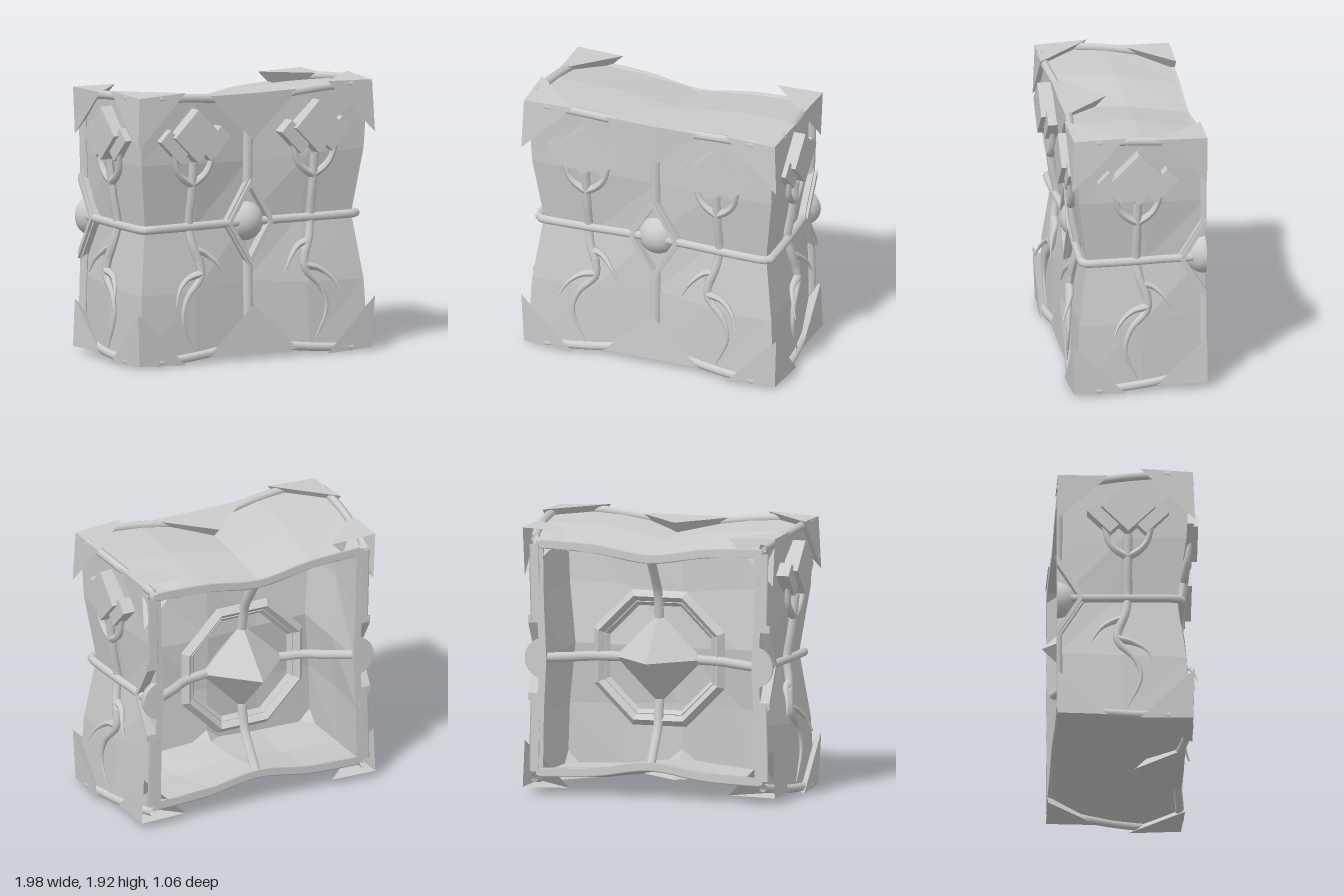
import * as THREE from 'three';

const flat = new THREE.MeshStandardMaterial({ color: 0xcccccc, flatShading: true, side: THREE.DoubleSide });
const smooth = new THREE.MeshStandardMaterial({ color: 0xcccccc, side: THREE.DoubleSide });
const V = (p) => new THREE.Vector3(...p);

// Everything is built around the centre of the open back.
// The block is pinched along the middle of every wall and edge, leaving humps near the corners.
const dip = (t) => Math.max(0, 1 - Math.abs(t)) ** 2;
const pinch = (a, b) => 0.92 - 0.085 * Math.max(a, b) - 0.025 * Math.min(a, b) - 0.01 * b;
const warp = (x, y, z) => [
  x * pinch(dip(y), dip(z)),
  y * (pinch(dip(x), dip(z)) - 0.05 * dip(x) * dip(z)),
  z * pinch(dip(y), dip(x)),
];
const faceZ = (x, y) => pinch(dip(y / 0.92), dip(x / 0.92));

function add(group, name, geometry, material = flat) {
  const mesh = new THREE.Mesh(geometry, material);
  mesh.name = name;
  group.add(mesh);
  return mesh;
}

// Flattens everything below a limit along one axis, to cut a part in half
function clampMin(geometry, axis, limit) {
  const p = geometry.attributes.position;
  for (let i = 0; i < p.count; i++) p.setComponent(i, axis, Math.max(limit, p.getComponent(i, axis)));
  geometry.computeVertexNormals();
  return geometry;
}

// Tube along points, with radius running from r0 to r1
function taperTube(points, r0, r1 = r0) {
  const curve = new THREE.CatmullRomCurve3(points.map(V));
  const n = 20, m = 8;
  const geo = new THREE.TubeGeometry(curve, n, 1, m);
  const p = geo.attributes.position, v = new THREE.Vector3();
  for (let i = 0; i <= n; i++) {
    const c = curve.getPointAt(i / n), r = r0 + (r1 - r0) * (i / n);
    for (let j = 0; j <= m; j++) {
      const k = i * (m + 1) + j;
      v.fromBufferAttribute(p, k).sub(c).multiplyScalar(r).add(c);
      p.setXYZ(k, v.x, v.y, v.z);
    }
  }
  geo.computeVertexNormals();
  return geo;
}

function triangles(list) {
  const geo = new THREE.BufferGeometry();
  geo.setAttribute('position', new THREE.Float32BufferAttribute(list.flat(2), 3));
  geo.computeVertexNormals();
  return geo;
}

// Five-sided low-poly skin, open at the back
function skin(scale) {
  const geo = new THREE.BoxGeometry(2, 2, 1, 4, 4, 2);
  geo.translate(0, 0, 0.5);
  const back = geo.groups[5];
  geo.setIndex(Array.from(geo.index.array).slice(0, back.start));
  geo.clearGroups();
  const p = geo.attributes.position;
  for (let i = 0; i < p.count; i++) {
    const q = warp(p.getX(i), p.getY(i), p.getZ(i));
    p.setXYZ(i, q[0] * scale, q[1] * scale, q[2] * scale);
  }
  geo.computeVertexNormals();
  return geo;
}

function rim(scale) {
  const loop = [];
  for (let s = 0; s < 4; s++) for (let k = 0; k < 4; k++) {
    const t = -1 + k / 2;
    loop.push(warp(...[[t, -1, 0], [1, t, 0], [-t, 1, 0], [-1, -t, 0]][s]));
  }
  const list = [];
  loop.forEach((a, i) => {
    const b = loop[(i + 1) % loop.length];
    const ai = a.map((c) => c * scale), bi = b.map((c) => c * scale);
    list.push([a, ai, b], [b, ai, bi]);
  });
  return triangles(list);
}

// One tree with its stone plates, at x = 0.49 on the face
function buildTree(group) {
  const on = (pts, lift = 0.025) => pts.map(([x, y, l = 0]) => [x, y, faceZ(x, y) + lift + l]);
  add(group, 'trunk', taperTube(on([[0.49, 0.46], [0.49, 0.2], [0.49, 0], [0.47, -0.13], [0.43, -0.24]]), 0.031), smooth);
  add(group, 'mainRoot', taperTube(on([[0.43, -0.22], [0.42, -0.35], [0.54, -0.49], [0.58, -0.64], [0.49, -0.86]]), 0.033, 0.004), smooth);
  add(group, 'innerRoot', taperTube(on([[0.47, -0.16], [0.38, -0.19], [0.3, -0.26, 0.03], [0.24, -0.36, 0.05]]), 0.03, 0.004), smooth);
  add(group, 'outerRoot', taperTube(on([[0.42, -0.33], [0.53, -0.36], [0.62, -0.43, 0.03], [0.67, -0.53, 0.06]]), 0.03, 0.004), smooth);
  for (const s of [-1, 1]) {
    add(group, 'branch', taperTube(on([[0.49, 0.3], [0.49 + s * 0.08, 0.35], [0.49 + s * 0.13, 0.41], [0.49 + s * 0.17, 0.54, 0.01]]), 0.03, 0.018), smooth);
    const side = add(group, 'sidePlate', new THREE.BoxGeometry(0.115, 0.225, 0.09));
    side.position.set(0.49 + s * 0.165, 0.585, 0.91);
    side.rotation.z = -s * Math.PI / 4;
  }
  const plate = add(group, 'diamondPlate', new THREE.BoxGeometry(0.265, 0.265, 0.11));
  plate.position.set(0.49, 0.65, 0.935);
  plate.rotation.z = Math.PI / 4;
}

// Right-hand half (x > 0) of one wall's ornament
function buildHalfFace() {
  const g = new THREE.Group();
  buildTree(g);

  const boss = new THREE.SphereGeometry(0.145, 32, 24);
  boss.translate(0, 0, 0.76);
  add(g, 'boss', clampMin(clampMin(boss, 2, 0.785), 0, 0), smooth);

  // Two stepped bars of the diamond frame
  for (const [outer, inner, front] of [[1, 0.88, 0.86], [0.92, 0.76, 0.88]]) {
    const s = new THREE.Shape();
    [[0, 0.325 * outer], [0.2 * outer, 0], [0, -0.325 * outer], [0, -0.325 * inner], [0.2 * inner, 0], [0, 0.325 * inner]]
      .forEach(([x, y], i) => (i ? s.lineTo(x, y) : s.moveTo(x, y)));
    const frame = new THREE.ExtrudeGeometry(s, { depth: front - 0.79, bevelEnabled: false });
    frame.translate(0, 0, 0.79);
    add(g, 'diamondFrame', frame);
  }

  add(g, 'girdle', taperTube([[0.08, 0, 0.845], [0.25, 0, 0.85], [0.5, 0, 0.865], [0.77, 0, 0.872], [0.84, 0, 0.868], [0.868, 0, 0.84]], 0.03), smooth);

  for (const s of [1, -1]) {
    const rib = taperTube([0.26, 0.45, 0.65, 0.8].map((y) => [0, s * y, faceZ(0, y) + 0.012]), 0.036);
    add(g, 'centreRib', clampMin(rib, 0, 0), smooth);
    // Vine that follows the pinched edge
    const vine = [0, 0.2, 0.4, 0.55, 0.7, 0.85].map((x) => {
      const [px, py, pz] = warp(x, 1, 1);
      return [px, s * (py + 0.008), pz + 0.008];
    });
    add(g, 'edgeVine', taperTube(vine, 0.03), smooth);
    // Half of the kite-shaped guard over the middle of the edge
    const peak = [0, s * 0.912, 0.92], end = [0.36, s * 0.915, 0.915];
    const low = [0, s * 0.58, 0.905], inner = [0, s * 0.905, 0.58];
    add(g, 'edgeGuard', triangles([[peak, low, end], [peak, end, inner], [low, inner, end]]));
  }
  return g;
}

export function createModel() {
  const model = new THREE.Group();
  const body = new THREE.Group();
  body.name = 'block';
  body.position.set(0, 0.96, -0.46);
  model.add(body);

  add(body, 'outerShell', skin(1));
  add(body, 'innerShell', skin(0.935));
  add(body, 'backRim', rim(0.935));

  // Two halves on the front, one on each side wall
  [[1, 0, 'frontLeft'], [-1, 0, 'frontRight'], [-1, Math.PI / 2, 'leftWall'], [1, -Math.PI / 2, 'rightWall']].forEach(([mirror, turn, name]) => {
    const half = buildHalfFace();
    half.name = name + 'Ornament';
    half.scale.x = mirror;
    half.rotation.y = turn;
    body.add(half);
  });

  for (const sy of [1, -1]) {
    // Front corner guards
    for (const sx of [1, -1]) {
      const f = (x, y, z) => [sx * x, sy * y, z];
      const c = f(0.942, 0.942, 0.942), a = f(0.575, 0.958, 0.955), b = f(0.958, 0.575, 0.955), d = f(0.955, 0.955, 0.575);
      add(body, 'cornerGuard', triangles([[c, a, b], [c, b, d], [c, d, a], [a, d, b]]));
    }
    // Half rib along the back edge of top and bottom
    const rib = taperTube([-1, -0.5, 0, 0.5, 1].map((x) => {
      const [px, py] = warp(x, 1, 0);
      return [px * 0.97, sy * (py - 0.02), 0];
    }), 0.032);
    add(body, 'backEdgeRib', clampMin(rib, 2, 0), smooth);
  }

  // Crystal held inside an eight-sided ring
  const crystal = add(body, 'crystal', new THREE.OctahedronGeometry(0.32));
  crystal.position.z = 0.25;
  const ring = add(body, 'crystalRing', new THREE.TorusGeometry(0.47, 0.045, 4, 8));
  ring.rotation.z = Math.PI / 8;
  ring.position.z = 0.25;
  const innerRing = add(body, 'crystalInnerRing', new THREE.TorusGeometry(0.425, 0.03, 4, 8));
  innerRing.rotation.z = Math.PI / 8;
  innerRing.position.z = 0.27;
  for (let i = 0; i < 4; i++) {
    const end = i % 2 ? 0.74 : 0.79;
    const arm = add(body, 'crystalArm', taperTube([[0.29, 0, 0.25], [0.47, 0, 0.21], [0.6, 0, 0.13], [end, 0, 0.03]], 0.034), smooth);
    arm.rotation.z = i * Math.PI / 2;
  }
  return model;
}
